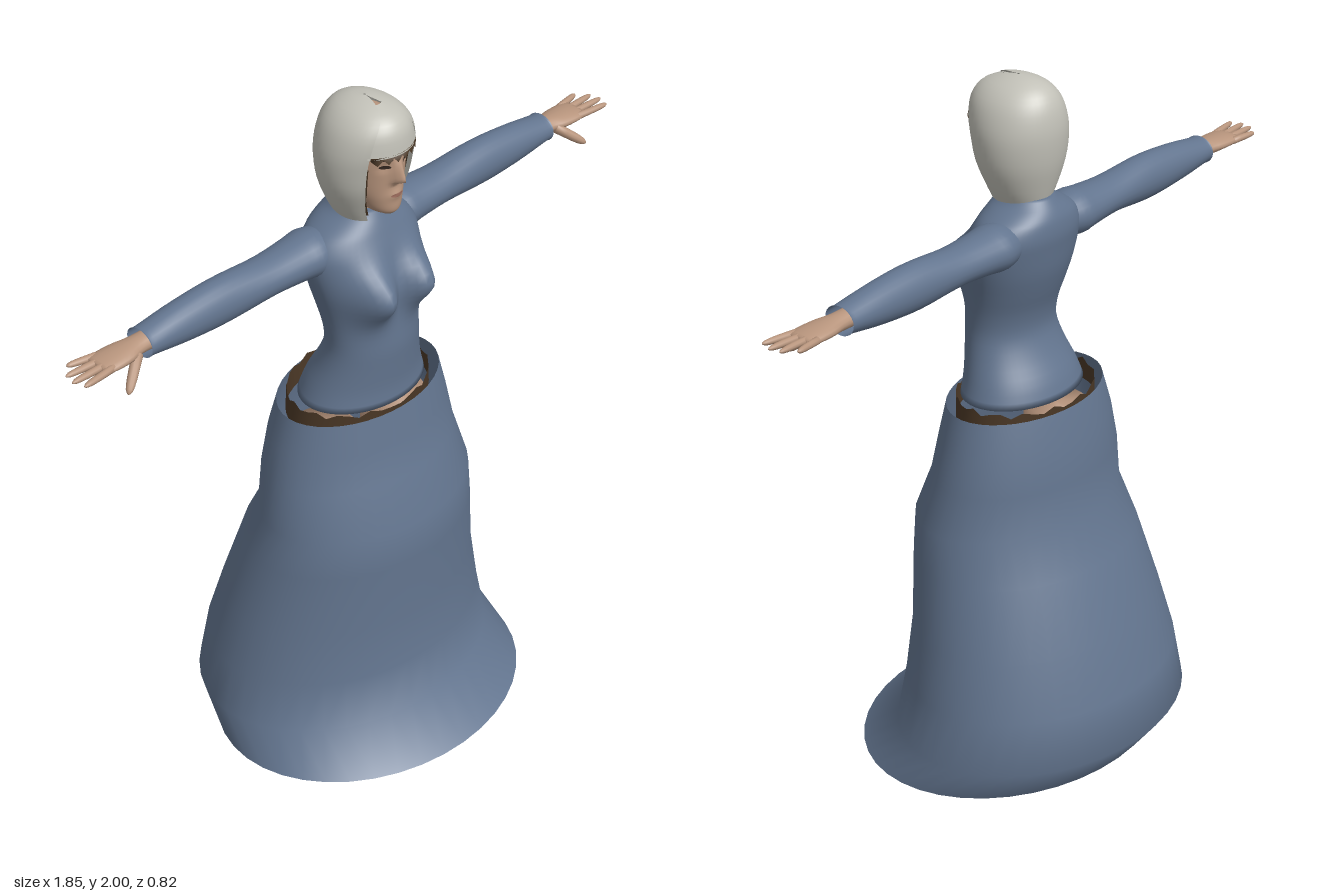
import * as THREE from 'three';

const mat = (name, color, side = THREE.FrontSide) => {
  const m = new THREE.MeshStandardMaterial({ color, side });
  m.name = name;
  return m;
};

// Smooth loft upward through sections [y, halfWidth, zFront, zBack, openAngle].
// k = rings per span, arc = angle range of an open shell, bump = extra z offset.
function loft(sections, { n = 24, k = 3, arc = null, bump = null, caps = true } = {}) {
  const w = sections[0].length, last = sections.length - 1;
  const curve = new THREE.CubicInterpolant(sections.map((_, i) => i), sections.flat(), w, new Float32Array(w));
  const pos = [], idx = [], rows = last * k + 1, cols = arc ? n + 1 : n;
  for (let i = 0; i < rows; i++) {
    const s = Array.from(curve.evaluate(i / k));
    const [from, to] = arc ? arc(s) : [0, Math.PI * 2];
    const zc = (s[2] + s[3]) / 2, rz = (s[2] - s[3]) / 2;
    for (let j = 0; j < cols; j++) {
      const a = from + (to - from) * j / n;
      const x = Math.sin(a) * s[1], z = zc + Math.cos(a) * rz;
      pos.push(x, s[0], z + (bump && z > zc ? bump(x, s[0]) : 0));
    }
  }
  for (let i = 0; i < rows - 1; i++) {
    for (let j = 0; j < n; j++) {
      const a = i * cols + j, b = i * cols + (j + 1) % cols;
      idx.push(a, b, b + cols, a, b + cols, a + cols);
    }
  }
  if (caps && !arc) {
    [[0, sections[0]], [rows - 1, sections[last]]].forEach(([r, s]) => {
      const c = pos.length / 3;
      pos.push(0, s[0], (s[2] + s[3]) / 2);
      for (let j = 0; j < n; j++) {
        const a = r * cols + j, b = r * cols + (j + 1) % n;
        idx.push(c, r ? a : b, r ? b : a);
      }
    });
  }
  const g = new THREE.BufferGeometry();
  g.setAttribute('position', new THREE.Float32BufferAttribute(pos, 3));
  g.setIndex(idx);
  g.computeVertexNormals();
  return g;
}

export function createModel() {
  const cloth = mat('blue cloth', 0x63758f, THREE.DoubleSide);
  const skin = mat('skin', 0xb8957d);
  const hairMat = mat('pale hair', 0xc2c1b8, THREE.DoubleSide);
  const brown = mat('brown leather', 0x4b3826, THREE.DoubleSide);
  const dark = mat('dark eyes', 0x33261f, THREE.DoubleSide);
  const lipMat = mat('lips', 0x98695a, THREE.DoubleSide);

  const model = new THREE.Group();
  const add = (name, geo, material, parent = model) => {
    const m = new THREE.Mesh(geo, material);
    m.name = name;
    parent.add(m);
    return m;
  };
  const gauss = (d, s) => Math.exp(-(d * d) / (s * s));

  // Long open skirt, swept back and flaring at the front hem
  add('skirt', loft([
    [0.117, 0.467, 0.41, -0.335], [0.217, 0.448, 0.285, -0.41], [0.36, 0.42, 0.26, -0.385],
    [0.515, 0.387, 0.245, -0.335], [0.705, 0.347, 0.255, -0.27], [0.82, 0.323, 0.25, -0.21],
    [0.945, 0.297, 0.2, -0.205], [1.05, 0.275, 0.18, -0.19], [1.14, 0.25, 0.163, -0.168],
  ], { n: 40, k: 1, caps: false }), cloth);

  // Ragged waistband showing inside the skirt
  const band = loft([[1.09, 0.215, 0.15, -0.16], [1.15, 0.208, 0.155, -0.163]], { n: 40, k: 1, caps: false });
  const bp = band.attributes.position;
  for (let j = 40; j < 80; j++) bp.setY(j, 1.15 + 0.008 * Math.sin(j * 2.3));
  add('waistband', band, brown);

  // Bodice with bust
  add('bodice', loft([
    [1.15, 0.188, 0.145, -0.13], [1.2, 0.17, 0.142, -0.112], [1.26, 0.15, 0.145, -0.078],
    [1.32, 0.138, 0.148, -0.056], [1.38, 0.14, 0.143, -0.062], [1.44, 0.15, 0.136, -0.082],
    [1.5, 0.163, 0.13, -0.1], [1.56, 0.173, 0.118, -0.11], [1.6, 0.172, 0.108, -0.115],
    [1.635, 0.15, 0.095, -0.112], [1.658, 0.115, 0.085, -0.104], [1.678, 0.08, 0.075, -0.092],
    [1.695, 0.062, 0.066, -0.08],
  ], { n: 56, bump: (x, y) => 0.075 * gauss(Math.abs(x) - 0.075, 0.055) * gauss(y - 1.495, 0.07) }), cloth);

  // Neck
  add('neck', loft([[1.66, 0.052, 0.055, -0.06], [1.71, 0.045, 0.05, -0.05], [1.78, 0.045, 0.05, -0.05]]), skin);

  // Head with nose, lips and eye sockets
  const nose = y => THREE.MathUtils.clamp(y > 1.813 ? (1.875 - y) / 0.062 : (y - 1.795) / 0.018, 0, 1);
  const face = add('head', loft([
    [1.706, 0.02, 0.118, 0.06], [1.72, 0.042, 0.13, 0.02], [1.75, 0.061, 0.132, -0.03],
    [1.78, 0.074, 0.13, -0.05], [1.82, 0.083, 0.131, -0.07], [1.86, 0.087, 0.135, -0.08],
    [1.9, 0.086, 0.132, -0.08], [1.94, 0.07, 0.11, -0.06], [1.97, 0.03, 0.07, -0.02],
  ], {
    n: 72, k: 5,
    bump: (x, y) => 0.034 * gauss(x, 0.014) * nose(y) + 0.006 * gauss(x, 0.022) * gauss(y - 1.767, 0.012)
      - 0.007 * gauss(Math.abs(x) - 0.034, 0.016) * gauss(y - 1.852, 0.013),
  }), skin);

  // Painted details laid onto the face surface
  const ray = new THREE.Raycaster();
  const ahead = new THREE.Vector3(0, 0, -1);
  face.updateMatrixWorld();
  const paint = (name, cx, cy, rx, ry, tilt, material) => {
    const g = new THREE.CircleGeometry(1, 16);
    g.scale(rx, ry, 1).rotateZ(tilt).translate(cx, cy, 0);
    const p = g.attributes.position;
    for (let i = 0; i < p.count; i++) {
      ray.set(new THREE.Vector3(p.getX(i), p.getY(i), 1), ahead);
      const hit = ray.intersectObject(face)[0];
      p.setZ(i, (hit ? hit.point.z : 0.12) + 0.002);
    }
    g.computeVertexNormals();
    add(name, g, material);
  };
  for (const s of [1, -1]) {
    paint('eye', s * 0.034, 1.852, 0.014, 0.005, s * 0.12, dark);
    paint('eyebrow', s * 0.036, 1.873, 0.02, 0.003, s * 0.15, dark);
  }
  paint('mouth', 0, 1.767, 0.02, 0.005, 0, lipMat);

  // Bobbed hair, open around the face
  const bob = [
    [1.68, 0.072, 0.088, -0.07, 0.62], [1.72, 0.094, 0.1, -0.082, 0.66], [1.78, 0.118, 0.122, -0.098, 0.68],
    [1.84, 0.126, 0.135, -0.106, 0.69], [1.89, 0.122, 0.146, -0.106, 0.7], [1.94, 0.104, 0.145, -0.095, 0.65],
    [1.975, 0.073, 0.12, -0.07, 0.5], [1.994, 0.035, 0.07, -0.03, 0.3], [2.0, 0.003, 0.022, 0.016, 0.1],
  ];
  const around = s => [s[4], Math.PI * 2 - s[4]];
  add('hair', loft(bob, { n: 36, arc: around }), hairMat);
  add('underHair', loft(bob.slice(0, 4).map(([y, w, f, b, a]) => [y + 0.012, w * 0.91, f * 0.94, b * 0.9, a - 0.03]),
    { n: 32, arc: around }), brown);
  add('bangs', loft([
    [1.888, 0.118, 0.149, -0.1, 0.78], [1.94, 0.101, 0.142, -0.092, 0.75],
    [1.973, 0.071, 0.117, -0.068, 0.65], [1.992, 0.034, 0.068, -0.028, 0.5],
  ], { n: 20, arc: s => [-s[4], s[4]] }), hairMat);

  // Jagged dark edge under the bangs
  const zig = new THREE.Shape();
  zig.moveTo(-0.078, 1.893);
  for (let i = 0; i <= 12; i++) zig.lineTo(-0.078 + i * 0.013, i % 2 ? 1.87 : 1.885);
  zig.lineTo(0.078, 1.893);
  for (let i = 11; i > 0; i--) zig.lineTo(-0.078 + i * 0.013, 1.893);
  const fringe = new THREE.ShapeGeometry(zig);
  const fp = fringe.attributes.position;
  for (let i = 0; i < fp.count; i++) fp.setZ(i, 0.0245 + 0.1255 * Math.sqrt(1 - (fp.getX(i) / 0.118) ** 2));
  fringe.computeVertexNormals();
  add('fringe', fringe, brown);

  // Arm, hand, leg and shoe for each side
  for (const [side, s] of [['left', 1], ['right', -1]]) {
    const half = new THREE.Group();
    half.name = side + 'Limbs';
    half.scale.x = s;
    model.add(half);

    // Arm is lofted upright, then laid out along x
    const arm = new THREE.Group();
    arm.name = side + 'Arm';
    arm.position.set(0, 1.594, -0.025);
    arm.rotation.z = -Math.PI / 2;
    half.add(arm);
    add('sleeve', loft([
      [0.09, 0.05, 0.055, -0.055], [0.15, 0.06, 0.072, -0.072], [0.2, 0.055, 0.067, -0.067],
      [0.3, 0.05, 0.06, -0.058], [0.42, 0.06, 0.054, -0.054], [0.5, 0.06, 0.052, -0.052],
      [0.6, 0.051, 0.049, -0.049], [0.69, 0.037, 0.045, -0.045], [0.705, 0.038, 0.046, -0.046],
    ], { caps: false }), cloth, arm);
    add('palm', loft([
      [0.67, 0.024, 0.028, -0.028], [0.72, 0.021, 0.031, -0.031], [0.76, 0.019, 0.043, -0.04],
      [0.81, 0.015, 0.046, -0.043], [0.84, 0.009, 0.041, -0.039],
    ], { n: 16 }), skin, arm);
    const digit = (name, a, b, r) => {
      const from = new THREE.Vector3(...a), dir = new THREE.Vector3(...b).sub(from), L = dir.length();
      const m = add(name, loft([[0, r, r, -r], [L * 0.6, r * 0.9, r * 0.9, -r * 0.9],
        [L * 0.9, r * 0.65, r * 0.65, -r * 0.65], [L, r * 0.15, r * 0.15, -r * 0.15]], { n: 10, k: 2 }), skin, arm);
      m.position.copy(from);
      m.quaternion.setFromUnitVectors(new THREE.Vector3(0, 1, 0), dir.normalize());
    };
    [0.915, 0.926, 0.92, 0.892].forEach((tip, i) =>
      digit('finger', [0, 0.815, 0.033 - i * 0.022], [-0.003, tip, 0.047 - i * 0.031], 0.01));
    digit('thumb', [0.005, 0.735, 0.026], [0.062, 0.807, 0.072], 0.014);

    // Leg
    const leg = add('leg', loft([
      [0.07, 0.036, -0.025, -0.1], [0.15, 0.035, -0.028, -0.105], [0.32, 0.052, 0.0, -0.115],
      [0.5, 0.05, 0.025, -0.085], [0.75, 0.075, 0.07, -0.085], [1.05, 0.085, 0.085, -0.09],
    ]), skin, half);
    leg.position.x = 0.125;

    // Shoe lofted heel to toe: [z, halfWidth, bottom, top]
    const shoe = add('shoe', loft([
      [-0.108, 0.025, 0.012, 0.07], [-0.095, 0.042, 0.003, 0.105], [-0.05, 0.05, 0.0, 0.122],
      [0.0, 0.05, 0.004, 0.105], [0.05, 0.058, 0.002, 0.078], [0.11, 0.064, 0.0, 0.058],
      [0.155, 0.05, 0.003, 0.045], [0.182, 0.018, 0.013, 0.03],
    ].map(([z, w, lo, hi]) => [z, w, -lo, -hi])).rotateX(Math.PI / 2), brown, half);
    shoe.position.x = 0.14;
  }
  return model;
}
